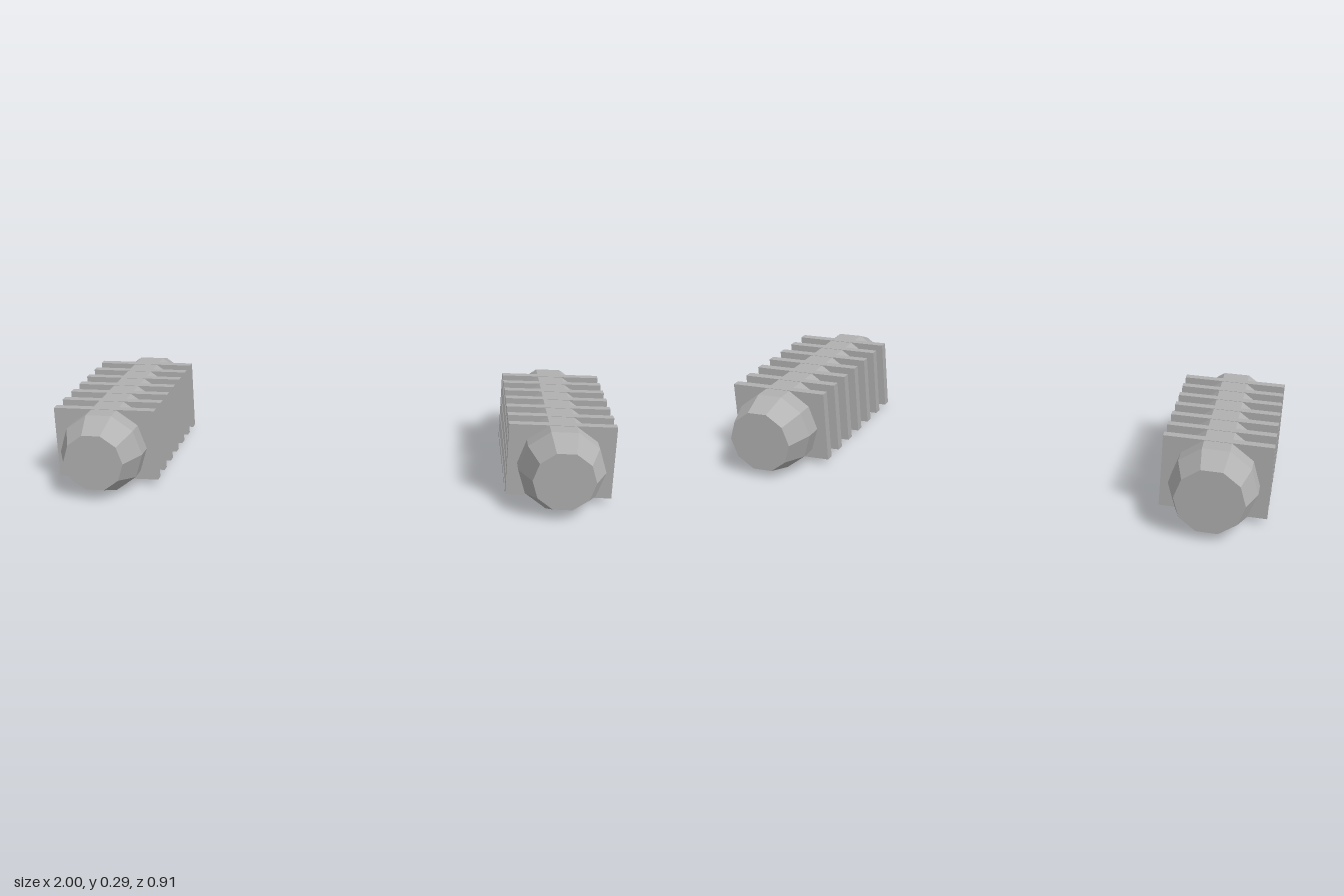
import * as THREE from 'three';

export function createModel() {
  const model = new THREE.Group();
  const grey = new THREE.MeshStandardMaterial({ color: 0xb0b0b0 });
  grey.name = 'metalGrey';
  grey.flatShading = true;

  // Ten-sided body with tapered, capped ends, lying along z
  const profile = [
    [0, -0.457], [0.118, -0.457], [0.15, -0.355],
    [0.15, 0.36], [0.107, 0.457], [0, 0.457],
  ].map(([r, z]) => new THREE.Vector2(r, z));
  const bodyGeometry = new THREE.LatheGeometry(profile, 10, Math.PI / 2);
  bodyGeometry.rotateX(Math.PI / 2);

  // Thin rectangular cooling plate
  const finGeometry = new THREE.BoxGeometry(0.37, 0.266, 0.031);

  function createPod(name, x) {
    const pod = new THREE.Group();
    pod.name = name;
    pod.position.x = x;

    const body = new THREE.Mesh(bodyGeometry, grey);
    body.name = 'body';
    body.position.y = 0.144;
    pod.add(body);

    // Seven evenly spaced fins
    for (let i = 0; i < 7; i++) {
      const fin = new THREE.Mesh(finGeometry, grey);
      fin.name = `fin${i + 1}`;
      fin.position.set(0, 0.155, 0.004 + (i - 3) * 0.093);
      pod.add(fin);
    }
    return pod;
  }

  model.add(createPod('leftPod', 0.815), createPod('rightPod', -0.815));
  return model;
}
